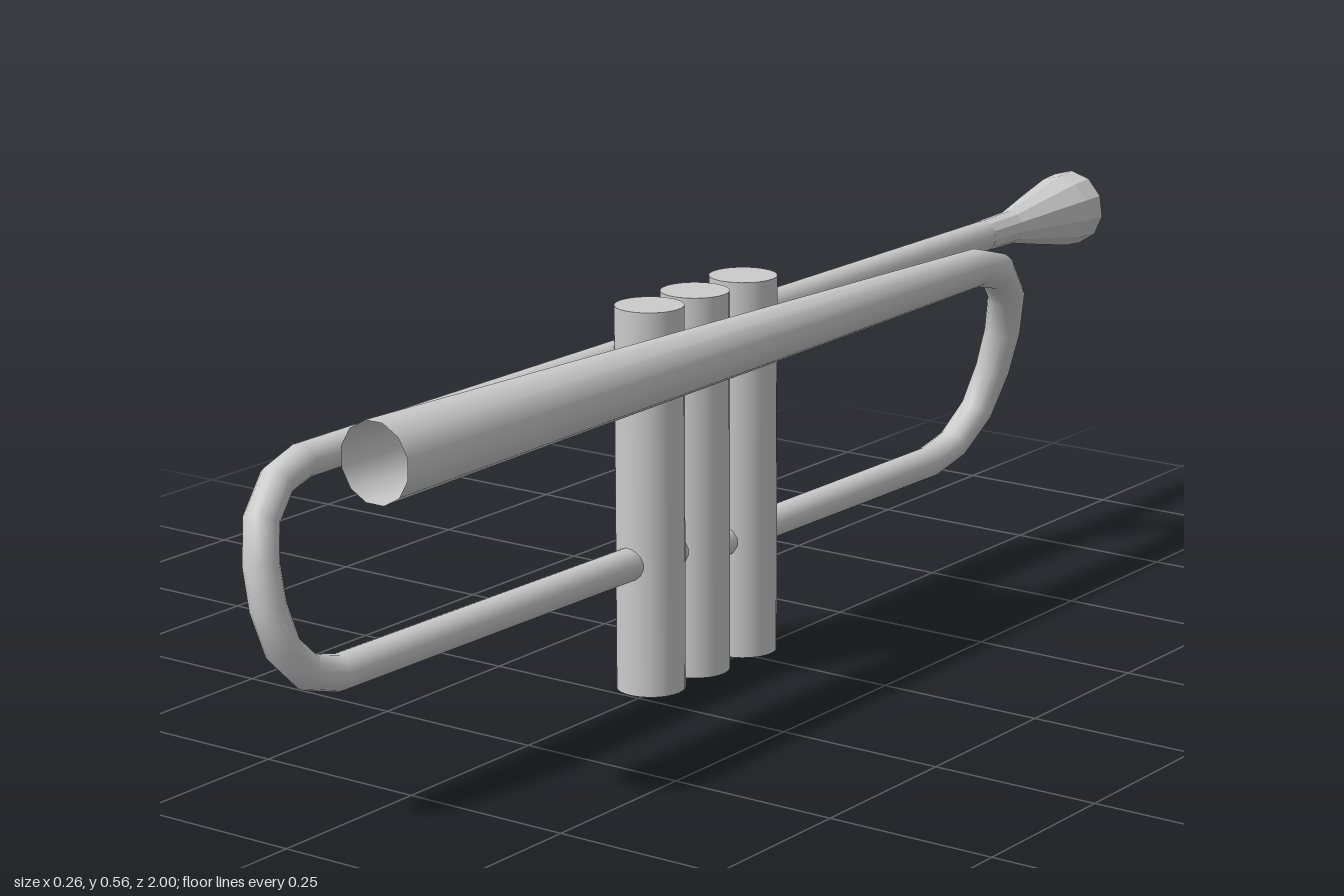
import * as THREE from 'three';

const metal = new THREE.MeshStandardMaterial({ color: 0xcccccc, side: THREE.DoubleSide });
const facetedMetal = new THREE.MeshStandardMaterial({ color: 0xcccccc, side: THREE.DoubleSide, flatShading: true });

// Sweeps a round section along points [x, y, z, radius]; "across" is normal to the bend's plane.
function sweep(points, across, sides) {
  const centres = points.map(p => new THREE.Vector3(p[0], p[1], p[2]));
  const position = [], index = [];
  centres.forEach((c, i) => {
    const before = centres[Math.max(i - 1, 0)], after = centres[Math.min(i + 1, centres.length - 1)];
    const inDir = c.clone().sub(before).normalize(), outDir = after.clone().sub(c).normalize();
    const tangent = inDir.add(outDir).normalize();
    const u = across.clone().addScaledVector(tangent, -across.dot(tangent)).normalize();
    const v = tangent.clone().cross(u);
    for (let k = 0; k < sides; k++) {
      const a = (k / sides) * Math.PI * 2;
      const p = c.clone().addScaledVector(u, Math.cos(a) * points[i][3]).addScaledVector(v, Math.sin(a) * points[i][3]);
      position.push(p.x, p.y, p.z);
      if (i === 0) continue;
      const k2 = (k + 1) % sides, r0 = (i - 1) * sides, r1 = i * sides;
      index.push(r0 + k, r0 + k2, r1 + k, r0 + k2, r1 + k2, r1 + k);
    }
  });
  const geometry = new THREE.BufferGeometry();
  geometry.setAttribute('position', new THREE.Float32BufferAttribute(position, 3));
  geometry.setIndex(index);
  geometry.computeVertexNormals();
  return geometry;
}

// U-shaped bend between two heights: two rounded corners leaning from one x to another.
function bend(from, to, zStart, zEnd, r0, r1) {
  const points = [], steps = 3, depth = zEnd - zStart, corner = 0.4;
  for (let half = 0; half < 2; half++) {
    for (let i = 0; i <= steps; i++) {
      const a = (i / steps) * Math.PI / 2;
      const h = half === 0 ? corner * (1 - Math.cos(a)) : 1 - corner * (1 - Math.sin(a));
      const out = half === 0 ? Math.sin(a) : Math.cos(a);
      const x = THREE.MathUtils.lerp(from[0], to[0], h), y = THREE.MathUtils.lerp(from[1], to[1], h);
      points.push([x, y, zStart + depth * out, THREE.MathUtils.lerp(r0, r1, h)]);
    }
  }
  return points;
}

export function createModel() {
  const group = new THREE.Group();
  const add = (name, geometry, material = metal) => {
    const mesh = new THREE.Mesh(geometry, material);
    mesh.name = name;
    group.add(mesh);
    return mesh;
  };

  // Three valve cylinders
  [0.197, 0.09, -0.026].forEach((z, i) => {
    add('valve' + (i + 1), new THREE.CylinderGeometry(0.049, 0.049, 0.556, 32)).position.set(-0.017, 0.278, z);
  });

  // Lead pipe: forward along the top, round the front bend, back into the valves
  const leadTop = [-0.07, 0.475], leadLow = [-0.021, 0.198];
  add('leadPipe', sweep([
    [...leadTop, -0.74, 0.024],
    ...bend(leadTop, leadLow, 0.87, 0.976, 0.024, 0.025),
    [-0.02, 0.191, 0.2, 0.024],
    [-0.02, 0.183, 0.06, 0.023],
  ], new THREE.Vector3(0.277, 0.049, 0).normalize(), 16));

  // Bell pipe: back from the valves, round the rear bend, widening to the open bell
  const bellLow = [-0.018, 0.17], bellTop = [0.066, 0.486];
  add('bellPipe', sweep([
    [-0.018, 0.174, 0.1, 0.023],
    ...bend(bellLow, bellTop, -0.51, -0.638, 0.024, 0.029),
    [0.072, 0.5, 0.895, 0.056],
  ], new THREE.Vector3(0.316, -0.084, 0).normalize(), 12));

  // Mouthpiece: faceted flare with a hollow cup at the rear
  const profile = [[0.024, 0], [0.026, 0.09], [0.041, 0.16], [0.056, 0.235], [0.059, 0.272], [0.045, 0.25], [0, 0.21]]
    .map(([r, h]) => new THREE.Vector2(r, h));
  const mouthpiece = add('mouthpiece', new THREE.LatheGeometry(profile, 11), facetedMetal);
  mouthpiece.rotation.x = -Math.PI / 2;
  mouthpiece.position.set(-0.071, 0.475, -0.728);

  return group;
}
